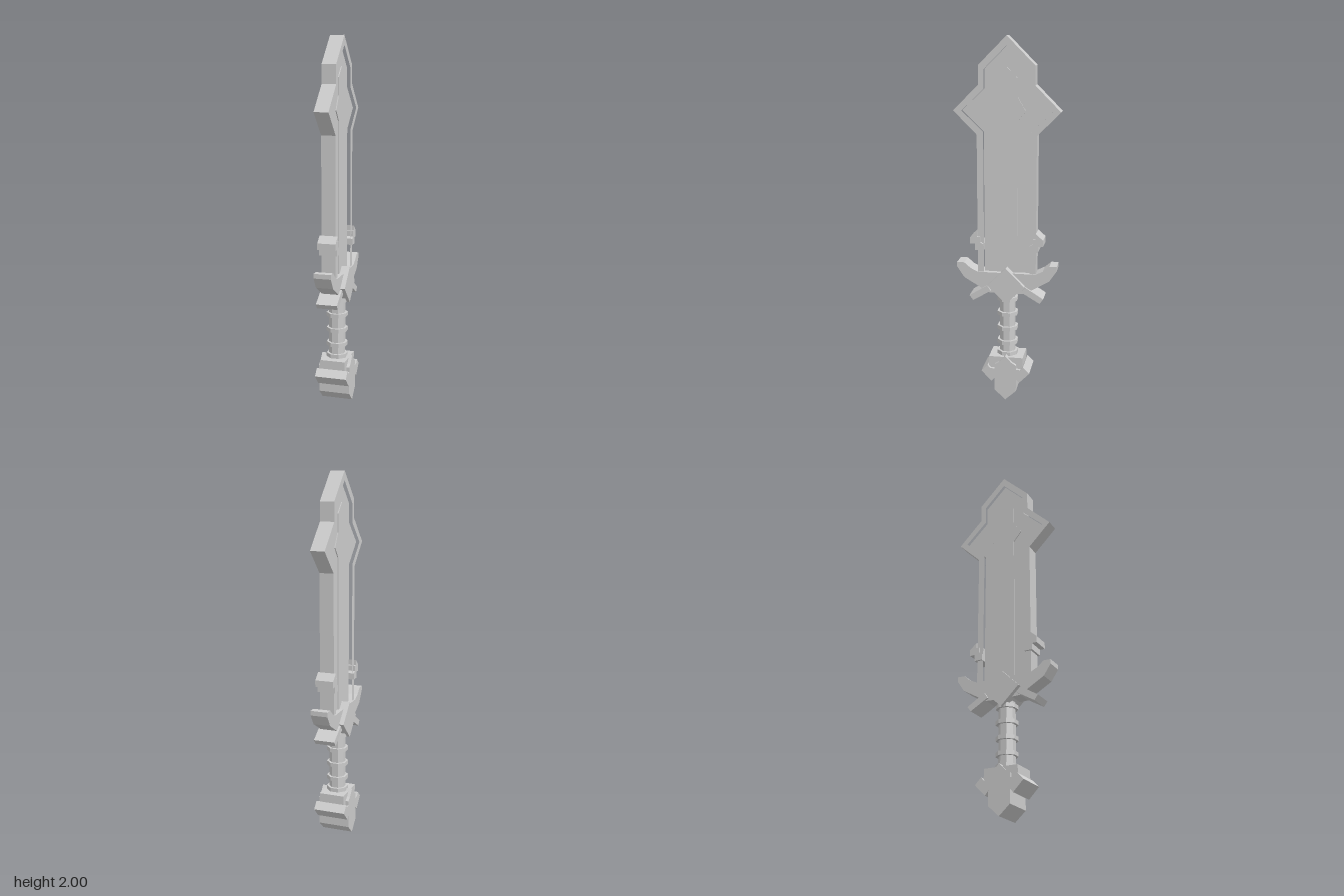
import * as THREE from 'three';

// Profiles are [z, y] points; every slab is extruded across x.
const mirror = (half) => [...half, ...half.filter((p) => p[0] > 0).reverse().map(([z, y]) => [-z, y])];
const flip = (pts) => pts.map(([z, y]) => [-z, y]);
const vectors = (pts) => pts.map(([z, y]) => new THREE.Vector2(z, y));

export function createModel() {
  const sword = new THREE.Group();
  sword.name = 'sword';
  const steel = new THREE.MeshStandardMaterial({ color: 0xcccccc });
  steel.name = 'plain grey';

  function add(name, geometry) {
    const mesh = new THREE.Mesh(geometry, steel);
    mesh.name = name;
    sword.add(mesh);
    return mesh;
  }

  function slab(name, pts, halfWidth, hole) {
    const shape = new THREE.Shape(vectors(pts));
    if (hole) shape.holes.push(new THREE.Path(vectors(hole)));
    const g = new THREE.ExtrudeGeometry(shape, { depth: halfWidth * 2, bevelEnabled: false });
    g.translate(0, 0, -halfWidth);
    g.rotateY(-Math.PI / 2);
    return add(name, g);
  }

  function pair(name, pts, halfWidth) {
    slab(name + 'Front', pts, halfWidth);
    slab(name + 'Back', flip(pts), halfWidth);
  }

  // Blade: raised rim, sunken panel and a low central spine
  const outer = mirror([[0, 2], [0.15, 1.85], [0.15, 1.75], [0.285, 1.615], [0.16, 1.49], [0.16, 0.68]]);
  const inner = mirror([[0, 1.95], [0.12, 1.83], [0.12, 1.73], [0.24, 1.615], [0.125, 1.505], [0.125, 0.7]]);
  const spine = mirror([[0, 1.84], [0.055, 1.785], [0.055, 1.69], [0.1, 1.615], [0.055, 1.56], [0.055, 0.7]]);
  slab('bladeRim', outer, 0.039, inner);
  slab('bladePanel', inner, 0.02);
  slab('bladeSpine', spine, 0.025);

  // Stepped clips on the blade edges
  pair('bladeClip', [
    [0.16, 0.965], [0.2, 0.93], [0.2, 0.895], [0.172, 0.895], [0.172, 0.86],
    [0.127, 0.86], [0.127, 0.895], [0.145, 0.905], [0.145, 0.935], [0.16, 0.935],
  ], 0.05);

  // Guard: curved wings, angled prongs and a central diamond
  slab('guardWings', mirror([
    [0, 0.735], [0.16, 0.735], [0.2, 0.755], [0.235, 0.785], [0.275, 0.785], [0.275, 0.76],
    [0.235, 0.7], [0.15, 0.65], [0.1, 0.62], [0, 0.615],
  ]), 0.047);
  pair('guardProng', [[0.205, 0.6], [0.185, 0.573], [0.085, 0.632], [0.105, 0.662]], 0.058);
  slab('guardDiamond', mirror([[0, 0.768], [0.102, 0.667], [0, 0.567]]), 0.072);

  // Octagonal grip with rings
  const octagon = (name, radius, height, y) => {
    const g = new THREE.CylinderGeometry(radius, radius, height, 8).toNonIndexed();
    g.rotateY(Math.PI / 8);
    g.computeVertexNormals();
    add(name, g).position.y = y;
  };
  octagon('grip', 0.045, 0.38, 0.42);
  [0.58, 0.495, 0.41, 0.327, 0.262].forEach((y, i) => octagon('gripRing' + (i + 1), 0.059, 0.022, y));

  // Pommel: collar block, pointed body and side barbs
  slab('pommelCollar', mirror([[0, 0.25], [0.095, 0.25], [0.095, 0.18], [0, 0.18]]), 0.07);
  slab('pommelBody', mirror([
    [0, 0.262], [0.035, 0.225], [0.06, 0.21], [0.06, 0.055], [0, 0],
  ]), 0.087);
  pair('pommelBarb', [
    [0.135, 0.167], [0.1, 0.203], [0.085, 0.185], [0.05, 0.185], [0.05, 0.14], [0.068, 0.12], [0.078, 0.108],
  ], 0.088);

  return sword;
}
